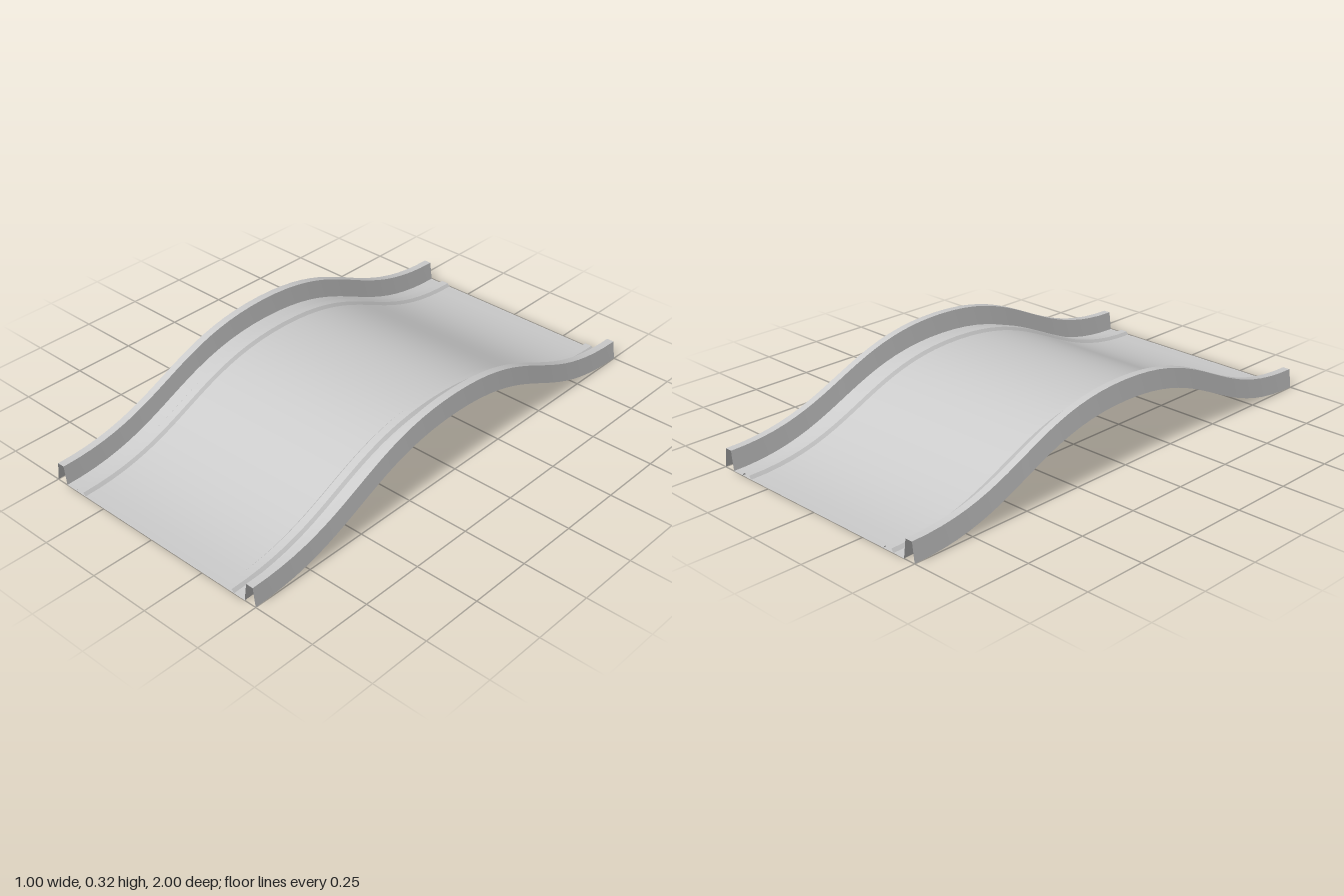
import * as THREE from 'three';
import { mergeGeometries } from 'three/addons/utils/BufferGeometryUtils.js';

const STEPS = 20; // steps along each half of the hill

// Centre line of the hill as [y, z], from the front foot over the crest to the back foot
function hillPath() {
  const slope = new THREE.CubicBezierCurve(
    new THREE.Vector2(1, 0), new THREE.Vector2(0.54, 0),
    new THREE.Vector2(0.46, 0.25), new THREE.Vector2(0, 0.25));
  const front = slope.getPoints(STEPS).map((p) => [p.y, p.x]);
  const back = front.slice(0, -1).reverse().map(([y, z]) => [y, -z]);
  return [...front, ...back];
}

// One smooth strip between two profile points, carried along the hill
function strip([x0, y0], [x1, y1], path) {
  const pos = [];
  const index = [];
  path.forEach(([y, z], i) => {
    pos.push(x0, y + y0, z, x1, y + y1, z);
    if (i < path.length - 1) {
      const a = i * 2;
      index.push(a, a + 1, a + 3, a, a + 3, a + 2);
    }
  });
  const g = new THREE.BufferGeometry();
  g.setAttribute('position', new THREE.Float32BufferAttribute(pos, 3));
  g.setIndex(index);
  g.computeVertexNormals();
  return g;
}

// Sweep a profile, listed in rising x, keeping sharp edges between its sides
function sweep(name, profile, path, material) {
  const strips = profile.slice(1).map((p, i) => strip(profile[i], p, path));
  const mesh = new THREE.Mesh(mergeGeometries(strips), material);
  mesh.name = name;
  return mesh;
}

export function createModel() {
  const group = new THREE.Group();
  group.name = 'hillTrack';
  const material = new THREE.MeshStandardMaterial({ color: 0xcccccc, side: THREE.DoubleSide });
  const path = hillPath();

  // Road sheet
  group.add(sweep('road', [[-0.45, 0], [0.45, 0]], path, material));

  // Hollow side rails and low raised strips, mirrored left and right
  const rail = [[-0.5, 0], [-0.49, 0.075], [-0.46, 0.075], [-0.45, 0]];
  const ridge = [[-0.4, 0], [-0.39, 0.012], [-0.36, 0.012], [-0.35, 0]];
  const mirror = (profile) => profile.map(([x, y]) => [-x, y]).reverse();
  group.add(sweep('rightRail', rail, path, material));
  group.add(sweep('leftRail', mirror(rail), path, material));
  group.add(sweep('rightRidge', ridge, path, material));
  group.add(sweep('leftRidge', mirror(ridge), path, material));
  return group;
}
